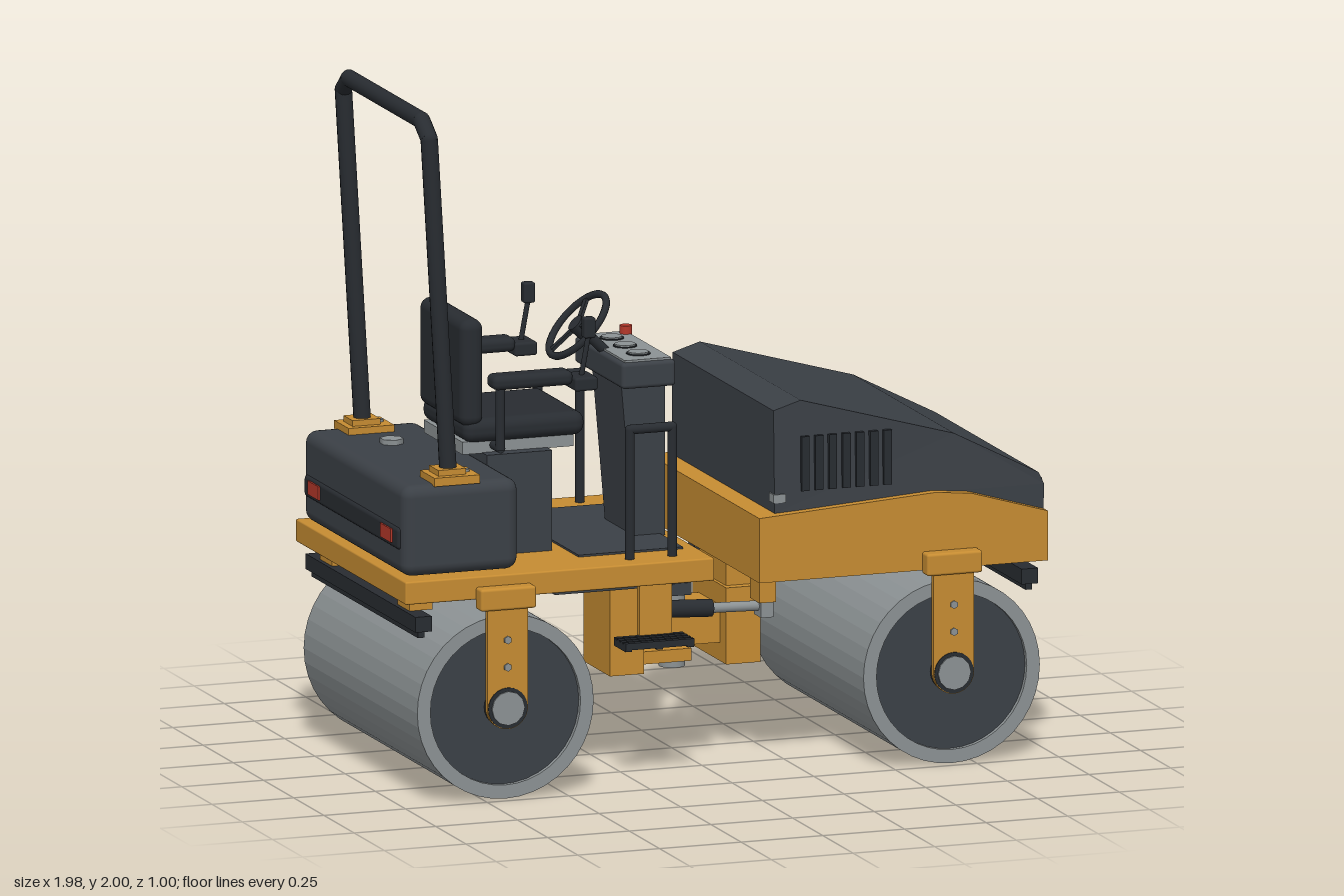
import * as THREE from 'three';
import { RoundedBoxGeometry } from 'three/addons/geometries/RoundedBoxGeometry.js';

const paint = (name, color) => Object.assign(new THREE.MeshStandardMaterial({ color }), { name });

export function createModel() {
  const model = new THREE.Group();
  model.name = 'tandemRoller';
  const yellow = paint('yellow paint', 0xc68c32);
  const dark = paint('dark grey panels', 0x3b4046);
  const black = paint('black trim', 0x282c31);
  const steel = paint('steel', 0x8c9294);
  const red = paint('red', 0xb5382a);
  const lens = paint('lamp lens', 0xb4babd);

  const add = (name, mat, geo) => {
    const m = new THREE.Mesh(geo, mat);
    m.name = name;
    model.add(m);
    return m;
  };
  // Box from its limits, optionally with rounded edges
  const box = (name, mat, x0, x1, y0, y1, z0, z1, r = 0) => {
    const s = [x1 - x0, y1 - y0, z1 - z0];
    const m = add(name, mat, r ? new RoundedBoxGeometry(...s, 3, r) : new THREE.BoxGeometry(...s));
    m.position.set((x0 + x1) / 2, (y0 + y1) / 2, (z0 + z1) / 2);
    return m;
  };
  // Cylinder between two points
  const rod = (name, mat, a, b, r, sides = 16) => {
    const p = new THREE.Vector3(...a), q = new THREE.Vector3(...b);
    const d = q.clone().sub(p);
    const m = add(name, mat, new THREE.CylinderGeometry(r, r, d.length(), sides));
    m.position.copy(p).add(q).multiplyScalar(0.5);
    m.quaternion.setFromUnitVectors(new THREE.Vector3(0, 1, 0), d.normalize());
    return m;
  };
  // Bent pipe with mitred joints
  const pipe = (name, mat, pts, r) => {
    for (let i = 0; i < pts.length - 1; i++) {
      rod(name, mat, pts[i], pts[i + 1], r);
      if (i) {
        const joint = add(name + 'Joint', mat, new THREE.SphereGeometry(r, 16, 10));
        joint.position.set(...pts[i]);
      }
    }
  };
  // Side profile extruded across z
  const slab = (name, mat, pts, z0, z1) => {
    const shape = Array.isArray(pts) ? new THREE.Shape(pts.map(p => new THREE.Vector2(...p))) : pts;
    const geo = new THREE.ExtrudeGeometry(shape, { depth: z1 - z0, bevelEnabled: false, curveSegments: 16 });
    return add(name, mat, geo.translate(0, 0, z0));
  };

  // Drums with yokes, hubs and scrapers
  const rim = [[0.23, -0.445], [0.23, -0.47], [0.27, -0.47], [0.27, 0.47], [0.23, 0.47], [0.23, 0.445]];
  for (const e of [-1, 1]) {
    const x = 0.683 * e;
    const shell = new THREE.LatheGeometry(rim.map(p => new THREE.Vector2(...p)), 40).toNonIndexed();
    shell.computeVertexNormals();
    const drum = add('drum', steel, shell);
    drum.rotation.x = Math.PI / 2;
    drum.position.set(x, 0.27, 0);
    rod('drumDisc', dark, [x, 0.27, -0.455], [x, 0.27, 0.455], 0.232, 40);
    for (const s of [-1, 1]) {
      const arm = new THREE.Shape();
      arm.moveTo(x + 0.062, 0.59);
      arm.lineTo(x - 0.062, 0.59);
      arm.lineTo(x - 0.062, 0.27);
      arm.absarc(x, 0.27, 0.062, Math.PI, Math.PI * 2);
      slab('yokeArm', yellow, arm, s > 0 ? 0.472 : -0.488, s > 0 ? 0.488 : -0.472);
      box('yokeBracket', yellow, x - 0.085, x + 0.085, 0.56, 0.625, s * 0.475 - 0.025, s * 0.475 + 0.025, 0.008);
      rod('hubRing', black, [x, 0.27, s * 0.45], [x, 0.27, s * 0.491], 0.06, 24);
      rod('hub', steel, [x, 0.27, s * 0.45], [x, 0.27, s * 0.496], 0.05, 12);
      for (const y of [0.39, 0.47]) rod('yokeBolt', steel, [x, y, s * 0.48], [x, y, s * 0.493], 0.012, 6);
      box('scraperBracket', yellow, e * 0.905 - 0.035, e * 0.905 + 0.035, 0.55, 0.59, s * 0.32 - 0.05, s * 0.32 + 0.05);
    }
    box('scraperBar', black, e * 0.928 - 0.025, e * 0.928 + 0.025, 0.505, 0.55, -0.455, 0.455);
    box('scraperBlade', black, e * 0.93 - 0.01, e * 0.93 + 0.01, 0.485, 0.51, -0.44, 0.44);
  }

  // Operator platform
  box('rearDeck', yellow, -0.983, -0.037, 0.588, 0.655, -0.455, 0.455, 0.005);
  box('floorMat', dark, -0.4, -0.08, 0.65, 0.661, -0.31, 0.31);
  box('underTray', dark, -0.45, -0.09, 0.535, 0.59, -0.25, 0.25);
  box('rearTank', dark, -0.975, -0.62, 0.658, 0.925, -0.42, 0.42, 0.035);
  box('tankBumper', black, -0.983, -0.95, 0.735, 0.8, -0.39, 0.39, 0.012);
  rod('fuelCap', steel, [-0.8, 0.92, -0.155], [-0.8, 0.94, -0.155], 0.035, 6);
  for (const s of [-1, 1]) box('tailLight', red, -0.988, -0.98, 0.75, 0.79, s * 0.3 - 0.045, s * 0.3 + 0.045);

  // Roll bar and its feet
  pipe('rollBar', black, [[-0.815, 0.93, 0.355], [-0.874, 1.93, 0.355], [-0.877, 1.974, 0.3],
    [-0.877, 1.974, -0.3], [-0.874, 1.93, -0.355], [-0.815, 0.93, -0.355]], 0.025);
  for (const s of [-1, 1]) {
    box('rollBarFoot', yellow, -0.88, -0.74, 0.92, 0.945, s * 0.355 - 0.06, s * 0.355 + 0.06);
    box('rollBarSocket', yellow, -0.86, -0.775, 0.94, 0.962, s * 0.355 - 0.038, s * 0.355 + 0.038);
    rod('footBolt', steel, [-0.762, 0.94, s * 0.355], [-0.762, 0.952, s * 0.355], 0.011, 6);
  }

  // Seat, armrests and levers
  box('seatBase', dark, -0.64, -0.44, 0.655, 0.95, -0.2, 0.2);
  box('seatSuspension', steel, -0.7, -0.36, 0.948, 0.985, -0.16, 0.16);
  box('seatCushion', black, -0.7, -0.33, 0.982, 1.052, -0.185, 0.185, 0.03);
  box('seatBack', black, -0.71, -0.64, 1.03, 1.345, -0.185, 0.185, 0.03);
  for (const s of [-1, 1]) {
    const z = s * 0.238;
    box('armrest', black, -0.645, -0.4, 1.152, 1.195, z - 0.036, z + 0.036, 0.018);
    rod('armrestPost', black, [-0.603, 0.965, s * 0.21], [-0.603, 1.16, s * 0.21], 0.014);
    rod('armrestBrace', black, [-0.603, 0.97, s * 0.16], [-0.603, 0.97, s * 0.215], 0.014);
    box('leverBox', black, -0.405, -0.335, 1.138, 1.178, s * 0.25 - 0.048, s * 0.25 + 0.048, 0.008);
    rod('lever', black, [-0.37, 1.17, s * 0.25], [-0.348, 1.29, s * 0.25], 0.008, 8);
    box('leverGrip', black, -0.365, -0.33, 1.285, 1.345, s * 0.25 - 0.016, s * 0.25 + 0.016, 0.006);
    // Entry handrail and hanging step
    pipe('handrail', black, [[-0.27, 0.65, s * 0.382], [-0.27, 1.035, s * 0.382],
      [-0.14, 1.035, s * 0.382], [-0.14, 0.65, s * 0.382]], 0.014);
    box('stepHanger', yellow, -0.245, -0.145, 0.425, 0.59, s * 0.385 - 0.01, s * 0.385 + 0.01);
    for (let i = 0; i < 4; i++) {
      const zs = s * (0.395 + i * 0.027);
      box('stepSlat', black, -0.32, -0.11, 0.41, 0.43, zs - 0.009, zs + 0.009);
    }
    for (const x of [-0.31, -0.215, -0.12]) {
      box('stepRib', black, x - 0.01, x + 0.01, 0.405, 0.425, s * 0.435 - 0.048, s * 0.435 + 0.048);
    }
  }

  // Control console
  slab('consoleColumn', dark, [[-0.16, 0.655], [-0.065, 0.655], [-0.065, 1.12], [-0.2, 1.12]], -0.12, 0.12);
  box('consoleHead', dark, -0.225, -0.06, 1.11, 1.187, -0.2, 0.2, 0.012);
  box('consolePanel', steel, -0.213, -0.072, 1.185, 1.193, -0.188, 0.188);
  for (const z of [-0.11, 0, 0.11]) {
    rod('gaugeBezel', black, [-0.143, 1.19, z], [-0.143, 1.196, z], 0.035, 24);
    rod('gauge', steel, [-0.143, 1.19, z], [-0.143, 1.2, z], 0.03, 24);
  }
  rod('stopButton', red, [-0.082, 1.18, -0.158], [-0.082, 1.217, -0.158], 0.018);

  // Steering wheel facing the seat
  const wheel = new THREE.Group();
  wheel.name = 'steeringWheel';
  const rimMesh = new THREE.Mesh(new THREE.TorusGeometry(0.113, 0.011, 8, 32), black);
  rimMesh.name = 'wheelRim';
  wheel.add(rimMesh);
  for (let i = 0; i < 3; i++) {
    const a = i * Math.PI * 2 / 3 + Math.PI / 2;
    const spoke = new THREE.Mesh(new THREE.BoxGeometry(0.113, 0.016, 0.01), black);
    spoke.name = 'wheelSpoke';
    spoke.position.set(Math.cos(a) * 0.056, Math.sin(a) * 0.056, 0);
    spoke.rotation.z = a;
    wheel.add(spoke);
  }
  wheel.position.set(-0.288, 1.265, 0);
  wheel.quaternion.setFromUnitVectors(new THREE.Vector3(0, 0, 1), new THREE.Vector3(-0.73, 0.68, 0).normalize());
  model.add(wheel);
  rod('wheelHub', black, [-0.297, 1.273, 0], [-0.265, 1.243, 0], 0.026);
  rod('steeringColumn', black, [-0.288, 1.265, 0], [-0.19, 1.17, 0], 0.015);

  // Front chassis and hood
  slab('frontChassis', yellow, [[0.1, 0.57], [0.983, 0.57], [0.983, 0.716], [0.75, 0.785], [0.64, 0.796],
    [0.1, 0.76]], -0.455, 0.455);
  const hood = slab('hood', dark, [[0.157, 0.765], [0.64, 0.79], [0.75, 0.78], [0.98, 0.712], [0.982, 0.79],
    [0.965, 0.825], [0.71, 0.957], [0.24, 1.09], [0.157, 1.065]], -0.427, 0.427);
  const hp = hood.geometry.attributes.position;
  for (let i = 0; i < hp.count; i++) if (hp.getY(i) > 0.9) hp.setZ(i, hp.getZ(i) * 0.978);
  hood.geometry.computeVertexNormals();
  box('chassisStrip', black, 0.28, 0.48, 0.552, 0.572, -0.3, 0.3);

  for (const s of [-1, 1]) {
    // Hood side vents, latch and headlights
    for (let i = 0; i < 7; i++) {
      const x = 0.25 + i * 0.042;
      box('hoodVent', black, x - 0.012, x + 0.012, 0.825, 0.985, s * 0.424 - 0.009, s * 0.424 + 0.009);
    }
    box('hoodLatch', steel, 0.153, 0.19, 0.795, 0.82, s * 0.41 - 0.02, s * 0.41 + 0.02);
    box('headlightFrame', black, 0.975, 0.985, 0.735, 0.802, s * 0.3 - 0.1, s * 0.3 + 0.1);
    for (const z of [0.255, 0.35]) rod('headlight', lens, [0.975, 0.768, s * z], [0.989, 0.768, s * z], 0.03, 20);
  }

  // Articulation joint between the frames
  box('rearJointBlock', yellow, -0.23, -0.125, 0.25, 0.59, -0.11, 0.11);
  box('upperLug', dark, -0.18, 0.035, 0.462, 0.498, -0.07, 0.07);
  box('lowerLug', yellow, -0.13, 0.035, 0.268, 0.305, -0.07, 0.07);
  box('pivotBlock', yellow, -0.04, 0.12, 0.32, 0.43, -0.09, 0.09);
  box('pivotPlate', black, -0.065, -0.035, 0.33, 0.42, -0.07, 0.07);
  rod('pivotPin', steel, [0, 0.243, 0], [0, 0.51, 0], 0.038);
  box('frontJointBlock', yellow, 0.115, 0.22, 0.265, 0.49, -0.14, 0.14);
  box('frontJointLug', yellow, 0.125, 0.245, 0.485, 0.575, -0.11, 0.11);

  // Steering ram and hoses
  rod('ramBarrel', black, [-0.17, 0.47, 0.245], [0.03, 0.46, 0.245], 0.026);
  rod('ramRod', steel, [0.02, 0.46, 0.245], [0.2, 0.455, 0.245], 0.015);
  box('ramAnchor', steel, 0.172, 0.21, 0.425, 0.485, 0.215, 0.275);
  box('ramBracket', yellow, 0.165, 0.215, 0.47, 0.575, 0.2, 0.28);
  for (const s of [-1, 1]) {
    const path = new THREE.CatmullRomCurve3([[-0.14, 0.55, s * 0.06], [-0.06, 0.505, s * 0.03],
      [0.02, 0.495, -0.05 + s * 0.02], [0.14, 0.545, -0.18 + s * 0.03]].map(p => new THREE.Vector3(...p)));
    add('hose', black, new THREE.TubeGeometry(path, 16, 0.012, 8));
  }
  return model;
}
